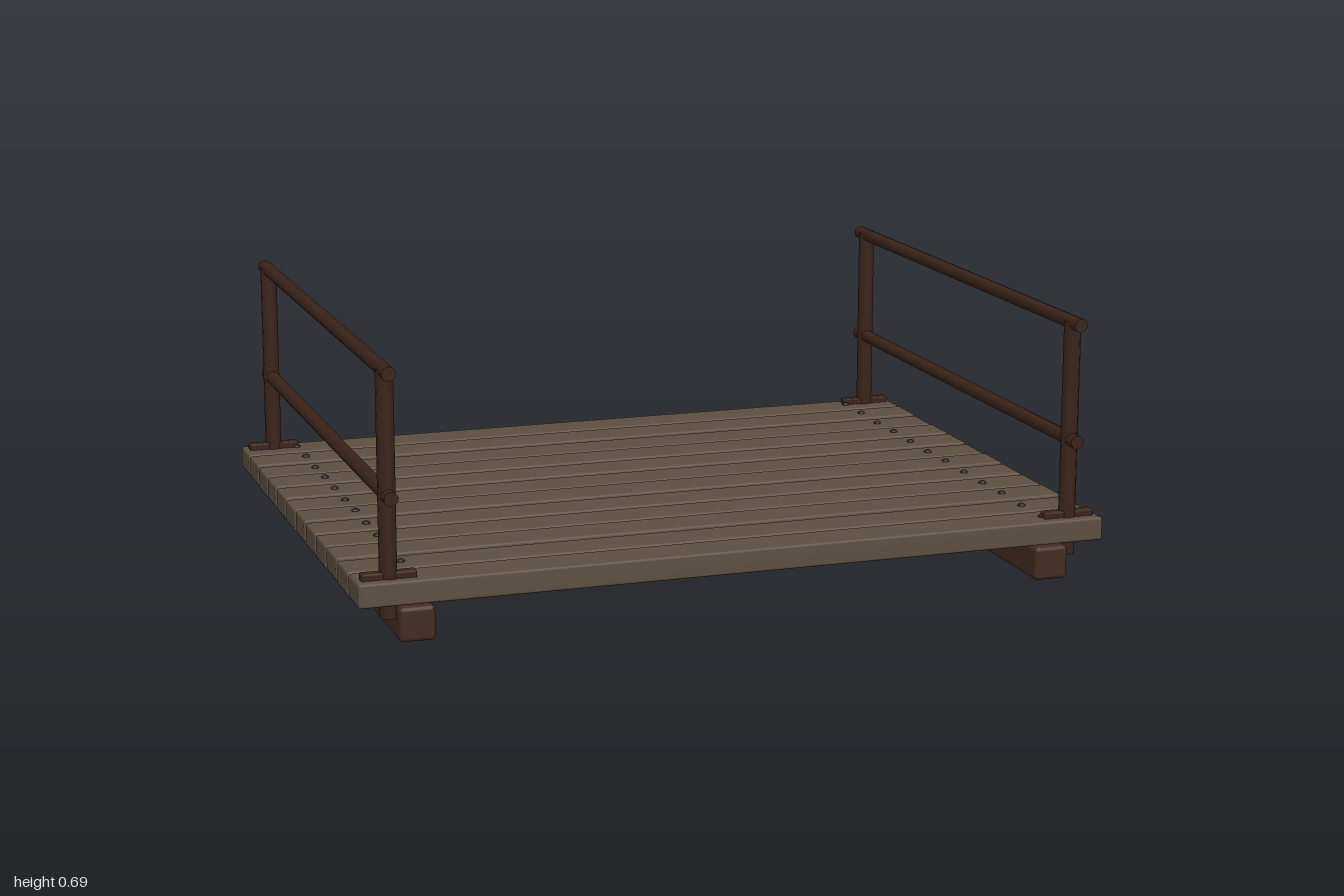
import * as THREE from 'three';
import { RoundedBoxGeometry } from 'three/addons/geometries/RoundedBoxGeometry.js';

function material(name, color) {
  const m = new THREE.MeshStandardMaterial({ color });
  m.name = name;
  return m;
}

export function createModel() {
  const model = new THREE.Group();
  model.name = 'footbridge';
  const plankWood = material('weathered plank wood', 0x5c4f41);
  const beamWood = material('dark beam wood', 0x452c22);
  const railWood = material('railing brown', 0x38241b);
  const nailIron = material('nail iron', 0x2a2420);

  const add = (parent, name, geometry, mat, x, y, z) => {
    const mesh = new THREE.Mesh(geometry, mat);
    mesh.name = name;
    mesh.position.set(x, y, z);
    parent.add(mesh);
    return mesh;
  };

  // Shared geometries
  const plankGeo = new RoundedBoxGeometry(2, 0.062, 0.113, 1, 0.007);
  const beamGeo = new RoundedBoxGeometry(0.092, 0.09, 1.495, 2, 0.012);
  const nailGeo = new THREE.SphereGeometry(0.011, 10, 4, 0, Math.PI * 2, 0, Math.PI / 2).scale(1, 0.7, 1);
  const postGeo = new THREE.CylinderGeometry(0.0225, 0.0225, 0.625, 10);
  const railGeo = new THREE.CylinderGeometry(0.0185, 0.0185, 1.5, 10).rotateX(Math.PI / 2);
  const plateGeo = new RoundedBoxGeometry(0.14, 0.022, 0.032, 1, 0.004);

  // Deck planks with a nail at each end
  const deck = new THREE.Group();
  deck.name = 'deck';
  model.add(deck);
  for (let i = 0; i < 12; i++) {
    const z = (i - 5.5) * 0.125;
    const lift = 0.0015 * Math.sin(i * 2.3);
    add(deck, 'plank', plankGeo, plankWood, 0, 0.125 + lift, z);
    for (const side of [-1, 1]) add(deck, 'nail', nailGeo, nailIron, side * 0.85, 0.156 + lift, z);
  }

  // Support beam and railing on each side
  for (const side of [-1, 1]) {
    add(model, 'supportBeam', beamGeo, beamWood, side * 0.853, 0.045, 0);
    const railing = new THREE.Group();
    railing.name = side > 0 ? 'leftRailing' : 'rightRailing';
    railing.position.x = side * 0.915;
    model.add(railing);
    for (const z of [-0.7, 0.7]) {
      add(railing, 'post', postGeo, railWood, 0, 0.3675, z);
      add(railing, 'footPlate', plateGeo, railWood, 0, 0.162, z);
    }
    add(railing, 'topRail', railGeo, railWood, 0, 0.676, 0);
    add(railing, 'middleRail', railGeo, railWood, 0, 0.366, 0);
  }
  return model;
}
